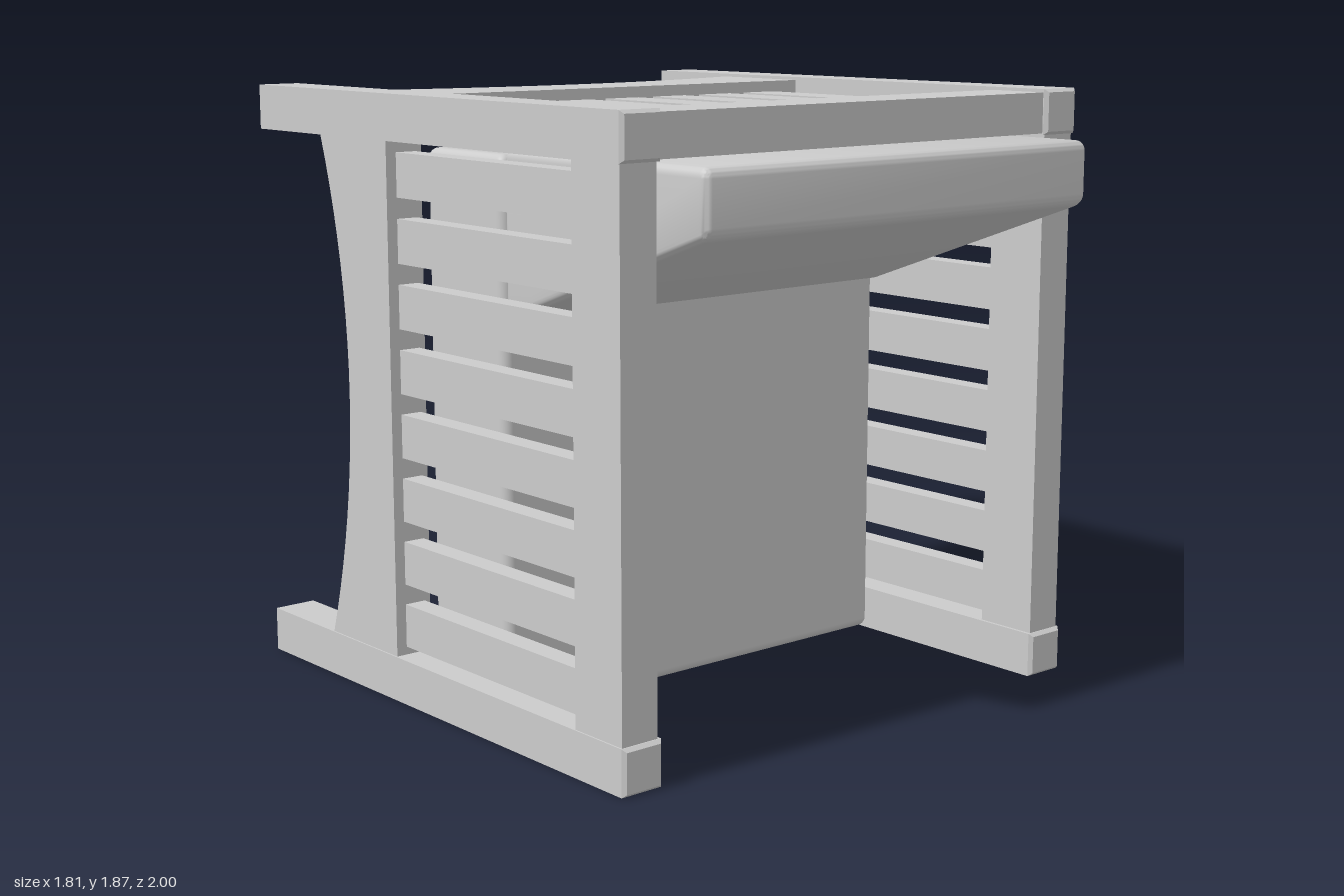
import * as THREE from 'three';
import { toCreasedNormals } from 'three/addons/utils/BufferGeometryUtils.js';
import { RoundedBoxGeometry } from 'three/addons/geometries/RoundedBoxGeometry.js';

const POST = 0.14, HEIGHT = 1.865, HALF = 0.905;
const RAIL = 0.125;                      // rail and apron thickness
const SIDE_X = 0.8375, BACK_Y = 1.7925;  // middle planes of the arms and the back
const MID_Y = HEIGHT / 2;

// Armchair resting on its back legs' side: legs run along -z, the seat opening faces down to y = 0
export function createModel() {
  const model = new THREE.Group();
  const material = new THREE.MeshStandardMaterial({ color: 0xcccccc });

  const add = (name, geometry, x = 0, y = 0, z = 0) => {
    const mesh = new THREE.Mesh(geometry, material);
    mesh.name = name;
    mesh.position.set(x, y, z);
    model.add(mesh);
    return mesh;
  };
  const box = (name, w, h, d, x, y, z) => add(name, new THREE.BoxGeometry(w, h, d), x, y, z);

  // Corner posts with a thin chamfered cap
  const capGeometry = new THREE.CylinderGeometry((POST - 0.02) * Math.SQRT1_2, POST * Math.SQRT1_2, 0.012, 4);
  capGeometry.rotateY(Math.PI / 4).rotateX(Math.PI / 2);
  const cap = capGeometry.toNonIndexed();
  cap.computeVertexNormals();
  for (const side of [1, -1]) {
    for (const y of [POST / 2, HEIGHT - POST / 2]) {
      const x = side * (HALF - POST / 2);
      const label = (side > 0 ? 'left' : 'right') + (y < 1 ? 'Front' : 'Back');
      box(label + 'Post', POST, POST, 1.818, x, y, -0.091);
      add(label + 'PostCap', cap, x, y, 0.824);
    }
  }

  // Aprons below the seat, with an arched edge
  const apronGeometry = (length) => {
    const h = length / 2;
    const shape = new THREE.Shape();
    shape.moveTo(-h, -0.65);
    shape.quadraticCurveTo(0, -0.39, h, -0.65);
    shape.lineTo(h, -0.285);
    shape.lineTo(-h, -0.285);
    const geometry = new THREE.ExtrudeGeometry(shape, { depth: RAIL, bevelEnabled: false, curveSegments: 20 });
    return geometry.translate(0, 0, -RAIL / 2).rotateX(Math.PI / 2);
  };
  const acrossApron = apronGeometry(1.54);
  const sideApron = apronGeometry(1.59).rotateZ(Math.PI / 2);
  add('frontApron', acrossApron, 0, 0.0725, 0);
  add('backApron', acrossApron, 0, BACK_Y, 0);

  // Arms: rail, apron and slats on both sides
  for (const side of [1, -1]) {
    const label = side > 0 ? 'left' : 'right';
    const x = side * SIDE_X;
    add(label + 'Apron', sideApron, x, MID_Y, 0);
    box(label + 'ArmRail', RAIL, 1.59, 0.205, x, MID_Y, 0.7125);
    for (let i = 0; i < 8; i++) {
      box(label + 'ArmSlat', 0.07, 0.135, 0.9, side * 0.83, 0.2325 + 0.1985 * i, 0.1625);
    }
  }

  // Back: rail and slats
  box('backRail', 1.54, RAIL, 0.205, 0, BACK_Y, 0.7125);
  for (let i = -3; i <= 3; i++) {
    box('backSlat', 0.135, 0.07, 0.9, 0.1975 * i, 1.785, 0.1625);
  }

  // Seat cushion
  add('seatCushion', new RoundedBoxGeometry(1.525, 1.69, 0.385, 4, 0.03), 0, 0.855, -0.0875);

  // Back cushion: a rounded box whose front face is sheared into a wedge
  const wedge = new RoundedBoxGeometry(1.525, 0.35, 0.89, 4, 0.03);
  const p = wedge.attributes.position;
  for (let i = 0; i < p.count; i++) {
    if (p.getY(i) < 0) p.setY(i, p.getY(i) + 0.36 * p.getZ(i));
  }
  add('backCushion', toCreasedNormals(wedge, 0.6), 0, 1.545, 0.555);

  return model;
}
